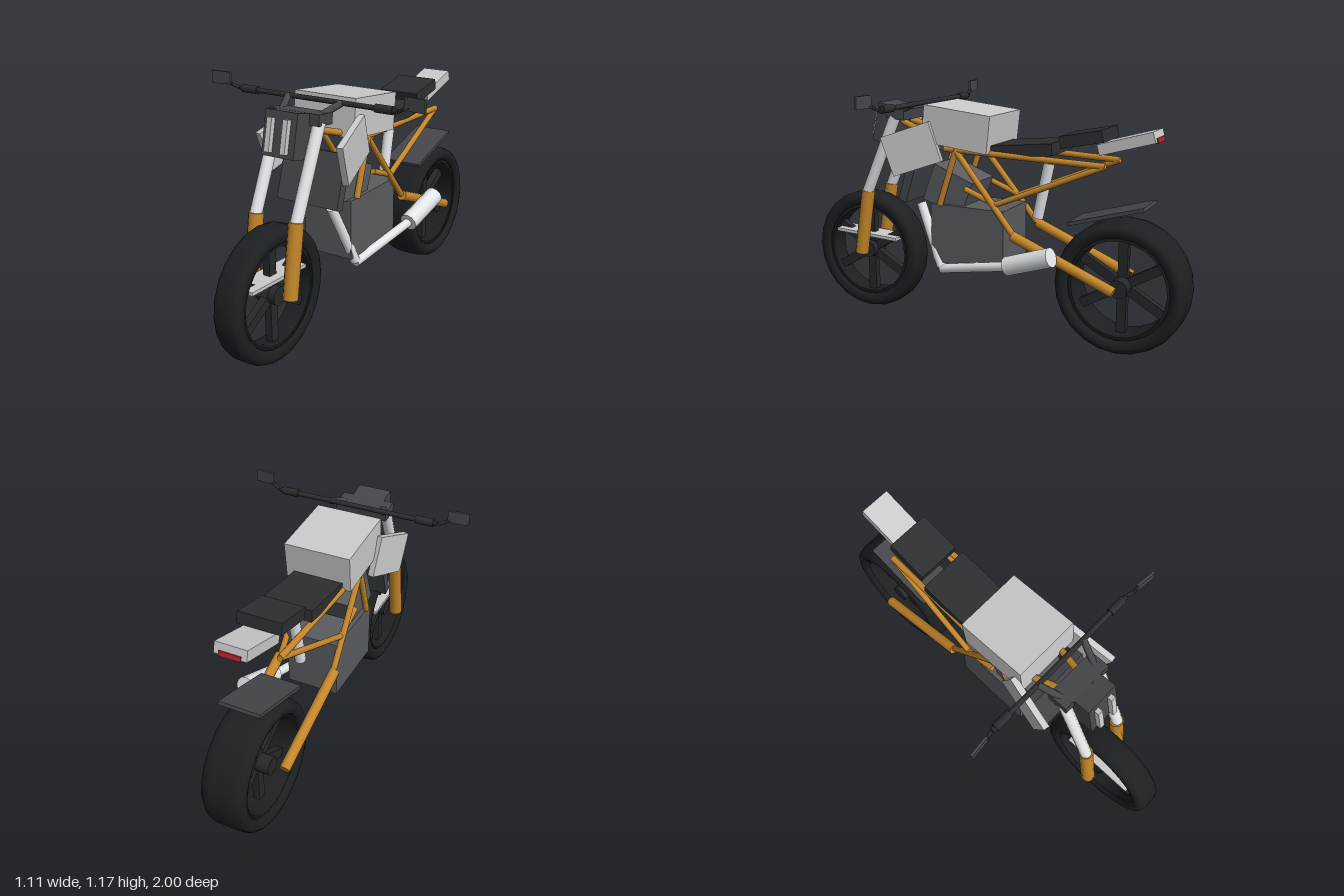
import * as THREE from 'three';

const mat = (color, extra = {}) => new THREE.MeshStandardMaterial({ color, ...extra });
const GOLD = mat(0xc4862a), LIGHT = mat(0xcccccc), CHROME = mat(0xe4e7ea), DARK = mat(0x45474b);
const ENGINE = mat(0x5a5c60), BLACK = mat(0x2d2e30), RED = mat(0xb02030);
const RUBBER = mat(0x1d1f21, { side: THREE.DoubleSide }), RIM = mat(0x26282b);

export function createModel() {
  const root = new THREE.Group();

  const add = (name, geometry, material, parent = root) => {
    const mesh = new THREE.Mesh(geometry, material);
    mesh.name = name;
    parent.add(mesh);
    return mesh;
  };
  // box with a pitch about x and an optional yaw about y
  const box = (name, material, size, pos, pitch = 0, yaw = 0) => {
    const mesh = add(name, new THREE.BoxGeometry(...size), material);
    mesh.position.set(...pos);
    mesh.rotation.set(pitch, yaw, 0, 'YXZ');
    return mesh;
  };
  // round bar between two points
  const bar = (name, material, from, to, r, r2 = r, sides = 12) => {
    const a = new THREE.Vector3(...from), b = new THREE.Vector3(...to);
    const mesh = add(name, new THREE.CylinderGeometry(r2, r, a.distanceTo(b), sides), material);
    mesh.position.copy(a).lerp(b, 0.5);
    mesh.quaternion.setFromUnitVectors(new THREE.Vector3(0, 1, 0), b.sub(a).normalize());
    return mesh;
  };
  // the same bar on both sides
  const pair = (name, material, from, to, r) => {
    for (const [side, s] of [['left', 1], ['right', -1]])
      bar(side + name, material, [s * from[0], from[1], from[2]], [s * to[0], to[1], to[2]], r);
  };

  // wheels: lathed tyre, rim band, six spokes and a hub
  const wheel = (name, z, w) => {
    const group = new THREE.Group();
    group.name = name;
    group.position.set(0, 0.31, z);
    root.add(group);
    const profile = [[0.24, -0.8], [0.25, -0.93], [0.27, -1], [0.287, -0.96], [0.302, -0.82], [0.31, -0.5],
      [0.31, 0.5], [0.302, 0.82], [0.287, 0.96], [0.27, 1], [0.25, 0.93], [0.24, 0.8], [0.24, -0.8]];
    const tyre = new THREE.LatheGeometry(profile.map(([r, x]) => new THREE.Vector2(r, x * w)), 24);
    add('tyre', tyre.rotateZ(Math.PI / 2), RUBBER, group);
    const band = [[0.226, -0.75], [0.245, -0.75], [0.245, 0.75], [0.226, 0.75], [0.226, -0.75]];
    const rim = new THREE.LatheGeometry(band.map(([r, x]) => new THREE.Vector2(r, x * w)), 24);
    add('rim', rim.rotateZ(Math.PI / 2), RUBBER, group);
    for (let i = 0; i < 3; i++)
      add('spoke', new THREE.BoxGeometry(0.035, 0.47, 0.045), RIM, group).rotation.x = i * Math.PI / 3;
    const hub = add('hub', new THREE.CylinderGeometry(0.043, 0.043, w * 1.5, 16), RIM, group);
    hub.rotation.z = Math.PI / 2;
  };
  wheel('frontWheel', 0.69, 0.067);
  wheel('rearWheel', -0.69, 0.107);

  // front fork, clamp and low front guard
  pair('ForkLower', GOLD, [0.106, 0.31, 0.69], [0.106, 0.645, 0.635], 0.034);
  pair('ForkUpper', CHROME, [0.108, 0.63, 0.64], [0.108, 1.03, 0.46], 0.028);
  box('forkClamp', DARK, [0.265, 0.05, 0.1], [0, 1.045, 0.445], -0.1);
  box('frontGuard', LIGHT, [0.12, 0.016, 0.37], [0, 0.393, 0.695], -0.04);

  // handlebar, grips, risers and mirrors
  bar('handlebar', BLACK, [-0.41, 1.096, 0.34], [0.41, 1.096, 0.34], 0.012);
  pair('Riser', DARK, [0.14, 1.095, 0.34], [0.09, 1.045, 0.47], 0.016);
  pair('Grip', BLACK, [0.31, 1.096, 0.34], [0.395, 1.096, 0.34], 0.019);
  pair('MirrorStalkInner', BLACK, [0.42, 1.096, 0.34], [0.45, 1.112, 0.352], 0.008);
  pair('MirrorStalkOuter', BLACK, [0.45, 1.112, 0.352], [0.48, 1.12, 0.358], 0.007);
  for (const s of [1, -1]) {
    box(s > 0 ? 'leftMirror' : 'rightMirror', DARK, [0.1, 0.058, 0.012], [s * 0.506, 1.138, 0.36], 0, s * -0.1);
    // headlight lens strips
    box('headlightStrip', LIGHT, [0.025, 0.145, 0.035], [s * 0.041, 0.992, 0.602], -0.22);
    // side shrouds flaring out towards the front
    box(s > 0 ? 'leftShroud' : 'rightShroud', LIGHT, [0.03, 0.197, 0.26], [s * 0.188, 0.89, 0.318], 0.335, s * 0.18);
  }
  box('headlight', DARK, [0.166, 0.195, 0.11], [0, 0.985, 0.54], -0.22);

  // tank, seats and tail
  box('tank', LIGHT, [0.326, 0.178, 0.35], [0, 0.995, 0.096], -0.107);
  box('seat', BLACK, [0.245, 0.055, 0.31], [0, 0.912, -0.222], 0.1);
  box('rearSeat', BLACK, [0.21, 0.055, 0.205], [0, 0.98, -0.505], 0.2);
  box('tail', LIGHT, [0.15, 0.05, 0.26], [0, 0.97, -0.70], 0.28);
  box('tailLight', RED, [0.1, 0.022, 0.016], [0, 0.988, -0.828], 0.28);
  box('rearGuard', DARK, [0.2, 0.017, 0.365], [0, 0.642, -0.625], 0.285);

  // radiator and engine
  box('radiator', DARK, [0.326, 0.25, 0.045], [0, 0.745, 0.357], -0.3);
  box('engineBlock', ENGINE, [0.26, 0.29, 0.39], [0, 0.475, 0.055]);
  box('engineCylinder', ENGINE, [0.22, 0.19, 0.22], [0, 0.685, 0.17], -0.37);

  // tube frame
  const knee = [0.13, 0.89, 0.11], tailEnd = [0.1, 0.868, -0.62], joint = [0.13, 0.65, -0.1];
  const pivot = [0.14, 0.52, -0.195];
  pair('TopTube', GOLD, [0.04, 1.0, 0.46], knee, 0.016);
  pair('SeatRail', GOLD, [0.13, 0.895, 0.17], tailEnd, 0.015);
  pair('DownTube', GOLD, knee, [0.13, 0.62, 0.2], 0.015);
  pair('RearTube', GOLD, knee, pivot, 0.015);
  pair('SeatStay', GOLD, tailEnd, joint, 0.014);
  pair('EngineStay', GOLD, joint, [0.13, 0.71, 0.06], 0.014);

  // rear suspension
  pair('SwingArm', GOLD, [0.145, 0.515, -0.195], [0.14, 0.315, -0.69], 0.025);
  bar('rearShock', CHROME, [0, 0.58, -0.26], [0, 0.845, -0.315], 0.027);

  // exhaust on the left side
  bar('exhaustHeader', CHROME, [0.08, 0.605, 0.335], [0.12, 0.305, 0.2], 0.024);
  bar('exhaustPipe', CHROME, [0.12, 0.295, 0.2], [0.185, 0.38, -0.2], 0.023);
  bar('muffler', CHROME, [0.188, 0.38, -0.19], [0.212, 0.46, -0.42], 0.046);

  return root;
}
